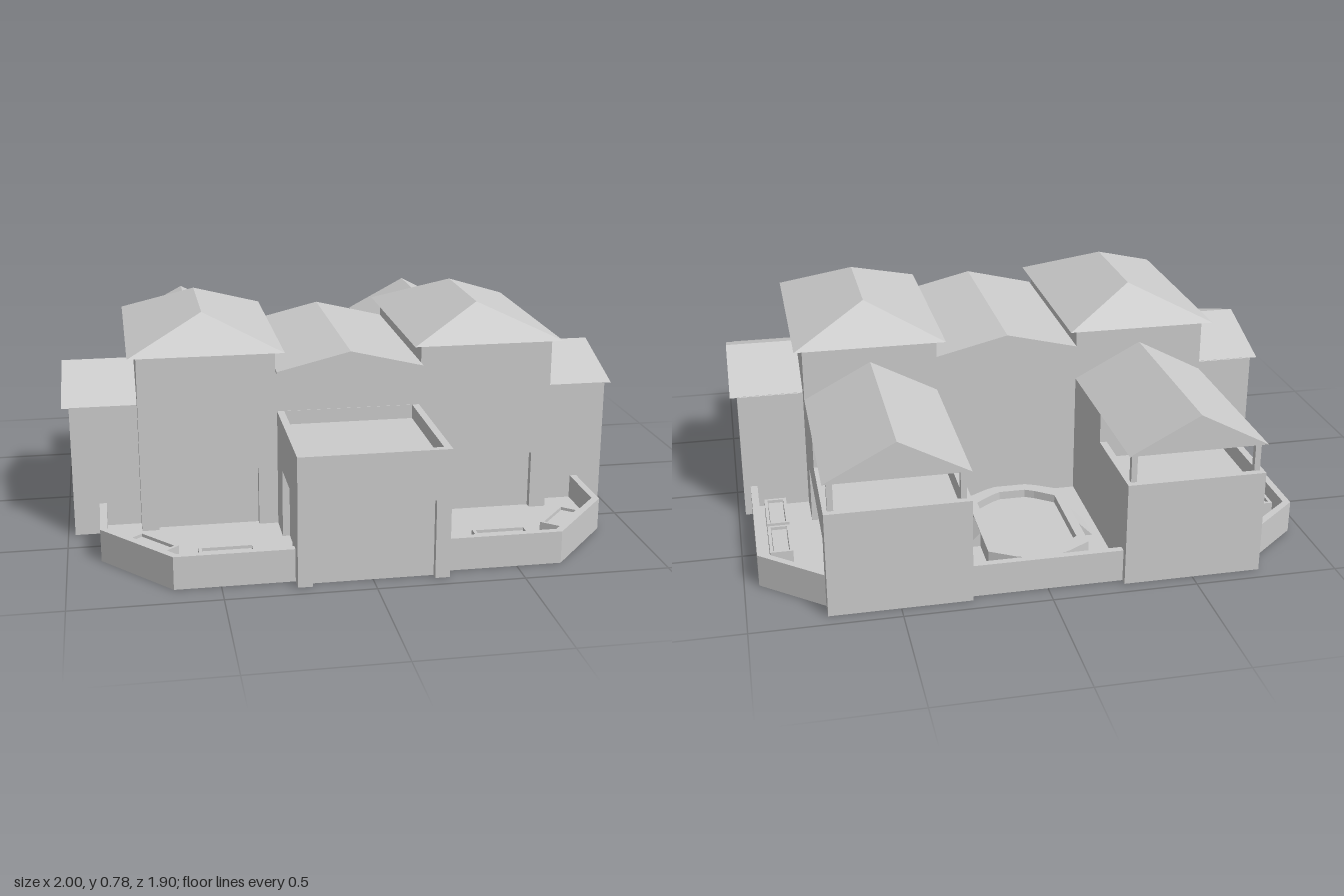
import * as THREE from 'three';
import { ConvexGeometry } from 'three/addons/geometries/ConvexGeometry.js';

const material = new THREE.MeshStandardMaterial({ color: 0xcccccc, flatShading: true, side: THREE.DoubleSide });
const REVEAL = 0.025; // depth of doorways and parapets
const FLOOR = 0.03; // top of the terrace floors
const UNDER = 0.02; // underside of the terrace floors

export function createModel() {
  const model = new THREE.Group();

  // Adds a mesh with flat normals
  function add(name, geometry) {
    const g = geometry.index ? geometry.toNonIndexed() : geometry;
    g.computeVertexNormals();
    const mesh = new THREE.Mesh(g, material);
    mesh.name = name;
    model.add(mesh);
  }

  // Adds a part on the left and its mirror image on the right
  function addPair(name, geometry) {
    const g = geometry.index ? geometry.toNonIndexed() : geometry;
    const m = g.clone();
    const p = m.attributes.position, src = g.attributes.position;
    for (let i = 0; i < p.count; i += 3) {
      [0, 2, 1].forEach((k, j) => p.setXYZ(i + j, -src.getX(i + k), src.getY(i + k), src.getZ(i + k)));
    }
    add(name + 'Left', g);
    add(name + 'Right', m);
  }

  // Box given by its limits
  function box(x0, x1, y0, y1, z0, z1) {
    return new THREE.BoxGeometry(x1 - x0, y1 - y0, z1 - z0)
      .translate((x0 + x1) / 2, (y0 + y1) / 2, (z0 + z1) / 2);
  }

  // Plan outline of [x, z] points raised from y0 to y1
  function slab(outline, y0, y1, hole) {
    const points = (list) => list.map(([x, z]) => new THREE.Vector2(x, -z));
    const shape = new THREE.Shape(points(outline));
    if (hole) shape.holes.push(new THREE.Path(points(hole)));
    return new THREE.ExtrudeGeometry(shape, { depth: y1 - y0, bevelEnabled: false })
      .rotateX(-Math.PI / 2).translate(0, y0, 0);
  }

  const rect = (x0, x1, z0, z1) => [[x0, z0], [x1, z0], [x1, z1], [x0, z1]];
  const hull = (points) => new ConvexGeometry(points.map((p) => new THREE.Vector3(...p)));

  // Thin wall from a to b (outside on the right hand); a doorway [start, end, height] gives it depth
  function wall(put, name, a, b, y0, y1, door) {
    const along = new THREE.Vector3(b[0] - a[0], 0, b[1] - a[1]);
    const length = along.length();
    along.normalize();
    const up = new THREE.Vector3(0, 1, 0);
    const out = along.clone().cross(up);
    const place = new THREE.Matrix4().makeBasis(along, up, out).setPosition(a[0], y0, a[1]);
    const h = y1 - y0;
    const outline = [[0, 0]];
    if (door) outline.push([door[0], 0], [door[0], door[2]], [door[1], door[2]], [door[1], 0]);
    outline.push([length, 0], [length, h], [0, h]);
    const shape = new THREE.Shape(outline.map((p) => new THREE.Vector2(...p)));
    const sheet = door
      ? new THREE.ExtrudeGeometry(shape, { depth: REVEAL, bevelEnabled: false }).translate(0, 0, -REVEAL)
      : new THREE.ShapeGeometry(shape);
    put(name, sheet.applyMatrix4(place));
    if (door) {
      const w = door[1] - door[0];
      put(name + 'Door', new THREE.PlaneGeometry(w, door[2])
        .translate(door[0] + w / 2, door[2] / 2, -REVEAL).applyMatrix4(place));
    }
  }

  // Four walls around a hollow room; base lifts the front and outer walls
  function room(put, name, [x0, x1, z0, z1], y0, y1, doors = {}, base = y0) {
    wall(put, name + 'FrontWall', [x0, z1], [x1, z1], base, y1, doors.front);
    wall(put, name + 'OuterWall', [x1, z1], [x1, z0], base, y1, doors.outer);
    wall(put, name + 'BackWall', [x1, z0], [x0, z0], y0, y1);
    wall(put, name + 'InnerWall', [x0, z0], [x0, z1], y0, y1, doors.inner);
  }

  // Raised edge around a flat roof or balcony
  function parapet(put, name, x0, x1, z0, z1, y0, y1) {
    put(name, slab(rect(x0, x1, z0, z1), y0, y1,
      rect(x0 + REVEAL, x1 - REVEAL, z0 + REVEAL, z1 - REVEAL)));
  }

  // Towers with hipped roofs
  room(addPair, 'tower', [0.26, 0.74, -0.265, 0.46], 0, 0.67, { front: [0.063, 0.42, 0.223] }, UNDER);
  addPair('towerRoof', hull([
    [0.23, 0.67, -0.30], [0.77, 0.67, -0.30], [0.77, 0.67, 0.495], [0.23, 0.67, 0.495],
    [0.5, 0.78, -0.10], [0.5, 0.78, 0.30]]));

  // Central hall with a thin gabled roof
  wall(add, 'hallFrontWall', [-0.26, 0.46], [0.26, 0.46], 0, 0.6);
  wall(add, 'hallBackWall', [0.26, -0.265], [-0.26, -0.265], 0, 0.6);
  const gable = (points, z0, z1) => new THREE.ExtrudeGeometry(
    new THREE.Shape(points.map((p) => new THREE.Vector2(...p))),
    { depth: z1 - z0, bevelEnabled: false }).translate(0, 0, z0);
  add('hallRoof', gable([[-0.26, 0.595], [-0.26, 0.604], [0, 0.667], [0.26, 0.604], [0.26, 0.595], [0, 0.656]], -0.27, 0.5));
  for (const [name, z] of [['hallFrontGable', 0.45], ['hallBackGable', -0.265]]) {
    add(name, gable([[-0.26, 0.595], [0.26, 0.595], [0, 0.656]], z, z + 0.01));
  }

  // Entrance porch with a parapet around its flat roof
  room(add, 'porch', [-0.255, 0.255, 0.46, 0.95], 0, 0.45, {
    front: [0.05, 0.46, 0.275], outer: [0.125, 0.365, 0.275], inner: [0.125, 0.365, 0.275] });
  add('porchDeck', box(-0.25, 0.25, 0.39, 0.4, 0.46, 0.94));
  parapet(add, 'porchParapet', -0.255, 0.255, 0.437, 0.95, 0.4, 0.45);

  // Side wings with gables facing outwards
  room(addPair, 'sideWing', [0.74, 0.975, -0.19, 0.385], 0, 0.475);
  addPair('sideWingRoof', hull([0.72, 1].flatMap((x) => [
    [x, 0.473, -0.193], [x, 0.473, 0.385], [x, 0.57, 0.095]])));

  // Back wings: lower storey, upper room, open balcony and roof
  room(addPair, 'backWing', [0.26, 0.74, -0.95, -0.265], 0, 0.37, { outer: [0.075, 0.605, 0.243] });
  addPair('balconyFloor', box(0.265, 0.735, 0.3, 0.31, -0.945, -0.27));
  parapet(addPair, 'balconyParapet', 0.26, 0.74, -0.95, -0.265, 0.31, 0.37);
  room(addPair, 'upperRoom', [0.26, 0.74, -0.605, -0.265], 0.31, 0.475);
  for (const x of [0.275, 0.705]) {
    addPair('balconyPost', box(x, x + 0.02, 0.31, 0.48, -0.928, -0.908));
  }
  addPair('backWingRoof', hull([-0.95, -0.26].flatMap((z) => [
    [0.26, 0.475, z], [0.74, 0.475, z], [0.5, 0.602, z]])));

  // Front terraces, whose floors run on indoors
  const frontEdge = [[0.255, 0.9], [0.655, 0.9], [0.885, 0.63], [0.885, 0.385]];
  addPair('frontTerraceFloor', slab([[0.22, 0.89], [0.65, 0.89], [0.875, 0.625],
    [0.875, 0.15], [0.22, 0.15]], UNDER, FLOOR));
  addPair('frontTerraceParapet', slab([...frontEdge,
    [0.86, 0.385], [0.86, 0.62], [0.643, 0.875], [0.255, 0.875]], 0, 0.115));

  // Side terraces, also running on indoors
  const sideEdge = [[0.74, -0.885], [0.95, -0.71], [0.95, -0.19]];
  addPair('sideTerraceFloor', slab([[0.6, -0.87], [0.74, -0.87], [0.94, -0.705],
    [0.94, -0.15], [0.6, -0.15]], UNDER, FLOOR));
  addPair('sideTerraceParapet', slab([...sideEdge, [0.925, -0.19], [0.925, -0.7], [0.74, -0.852]], 0, 0.115));

  // Planters: centre x, centre z, length, turn
  const chamfer = Math.atan2(0.27, 0.23);
  for (const [x, z, length, turn] of [
    [0.47, 0.813, 0.19, 0], [0.715, 0.705, 0.18, chamfer],
    [0.866, -0.561, 0.19, Math.PI / 2], [0.866, -0.353, 0.19, Math.PI / 2]]) {
    const l = length / 2, w = 0.039;
    const place = (g) => g.rotateY(turn).translate(x, 0, z);
    addPair('planterRim', place(slab(rect(-l, l, -w, w), FLOOR, 0.09,
      rect(0.011 - l, l - 0.011, 0.011 - w, w - 0.011))));
    addPair('planterSoil', place(box(0.013 - l, l - 0.013, FLOOR, 0.08, 0.013 - w, w - 0.013)));
  }

  // Back patio with a raised pool
  add('patioFloor', box(-0.28, 0.28, UNDER, FLOOR, -0.915, -0.27));
  add('patioParapet', box(-0.26, 0.26, 0, 0.115, -0.925, -0.9));
  const poolOutline = (w, l) => {
    const end = [[w, l - 0.065], [0.55 * w, l - 0.017], [0.33 * w, l]];
    const half = [...end, ...end.slice().reverse().map(([x, z]) => [-x, z])];
    return [...half, ...half.map(([x, z]) => [-x, -z])].map(([x, z]) => [x, z - 0.586]);
  };
  add('poolRim', slab(poolOutline(0.177, 0.267), FLOOR, 0.085, poolOutline(0.145, 0.222)));
  add('poolWater', slab(poolOutline(0.147, 0.224), FLOOR, 0.055));
  addPair('poolRamp', hull([-0.65, -0.53].flatMap((z) => [
    [0.175, FLOOR, z], [0.23, FLOOR, z], [0.175, 0.085, z]])));

  return model;
}
